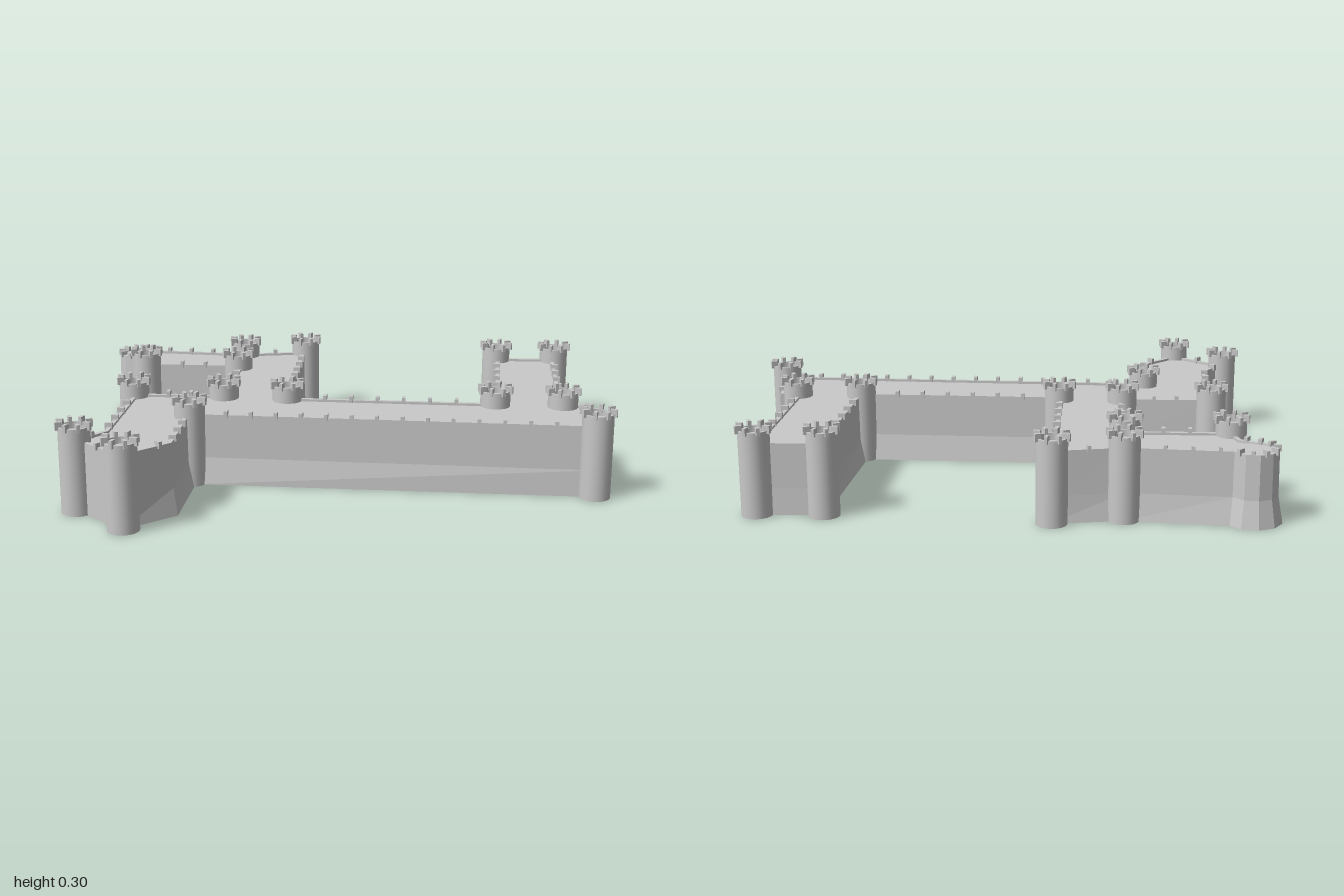
import * as THREE from 'three';

const stone = new THREE.MeshStandardMaterial({ color: 0xc9c9c9, side: THREE.DoubleSide });
stone.name = 'stone';

const ROOF = 0.23, PARAPET = 0.238, MERLON = 0.252;

// Tower centres [x, z]
const towers = [
  [-0.94, -0.17], [-0.94, 0.06], [-0.505, -0.125], [0.31, 0.925], [0.445, 0.695],
  [0.94, 0.305], [0.8, 0.14], [0.3, 0.52], [-0.14, -0.035], [0.37, -0.45],
  [0.19, -0.595], [-0.18, -0.74], [0.04, -0.475], [-0.27, -0.215], [-0.47, -0.455],
];

// Rounded bastion at the back end of the wing
const BX = -0.08, BZ = -0.9;
const bastion = Array.from({ length: 8 }, (_, i) => {
  const a = THREE.MathUtils.degToRad(20 - i * 235 / 7);
  return [BX + 0.078 * Math.cos(a), BZ + 0.078 * Math.sin(a), 0.018];
});

// Outer wall line [x, z, flare of the foot]
const outline = [
  [-0.94, 0.058, 0], [-0.75, 0.072, 0.014], [-0.505, -0.125, 0.018], [0.31, 0.925, 0.004],
  [0.49, 0.742, 0.012], [0.445, 0.695, 0.016], [0.94, 0.305, 0.004], [0.8, 0.14, 0.004],
  [0.3, 0.52, 0.018], [-0.14, -0.035, 0.018], [0.37, -0.45, 0.004], [0.19, -0.595, 0.012],
  ...bastion,
  [-0.137, -0.81, 0.01], [-0.18, -0.74, 0.01], [0.04, -0.475, 0.018], [-0.27, -0.215, 0.018],
  [-0.47, -0.455, 0.004], [-0.815, -0.18, 0.012], [-0.94, -0.175, 0],
];
const N = outline.length;

// Outward normal of the edge starting at point i
function edgeNormal(i) {
  const [x0, z0] = outline[(i + N) % N], [x1, z1] = outline[(i + 1) % N];
  return new THREE.Vector2(-(z1 - z0), x1 - x0).normalize();
}

// Mitred ring of the outline, pushed outwards at a given height
function ring(offset, y, flare = 0) {
  return outline.map(([x, z, f], i) => {
    const a = edgeNormal(i - 1), b = edgeNormal(i);
    const d = (offset + flare * f) / Math.max(0.4, 1 + a.dot(b));
    return new THREE.Vector3(x + (a.x + b.x) * d, y, z + (a.y + b.y) * d);
  });
}

// Flat-faced skin across a stack of rings
function loft(rings) {
  const pos = [];
  for (let k = 0; k < rings.length - 1; k++) {
    for (let i = 0; i < N; i++) {
      const j = (i + 1) % N, lo = rings[k], hi = rings[k + 1];
      for (const p of [lo[i], lo[j], hi[j], lo[i], hi[j], hi[i]]) pos.push(p.x, p.y, p.z);
    }
  }
  const g = new THREE.BufferGeometry();
  g.setAttribute('position', new THREE.Float32BufferAttribute(pos, 3));
  g.computeVertexNormals();
  return g;
}

function add(parent, name, geometry, x = 0, y = 0, z = 0, ry = 0) {
  const m = new THREE.Mesh(geometry, stone);
  m.name = name;
  m.position.set(x, y, z);
  m.rotation.y = ry;
  parent.add(m);
  return m;
}

// Round tower with a sunken roof and a crown of merlons
const R = 0.051, RIN = 0.043, TOP = 0.284, FLOOR = 0.262;
const disc = (r, y, up) => new THREE.CircleGeometry(r, 24).rotateX(up ? -Math.PI / 2 : Math.PI / 2).translate(0, y, 0);
const towerParts = {
  towerShaft: new THREE.CylinderGeometry(R, R, TOP, 24, 1, true).translate(0, TOP / 2, 0),
  towerFoot: disc(R, 0, false),
  towerRoof: disc(RIN, FLOOR, true),
  towerParapetInside: new THREE.CylinderGeometry(RIN, RIN, TOP - FLOOR, 24, 1, true).translate(0, (TOP + FLOOR) / 2, 0),
  towerRim: new THREE.RingGeometry(RIN, R, 24).rotateX(-Math.PI / 2).translate(0, TOP, 0),
};
const towerMerlon = new THREE.BoxGeometry(0.011, 0.026, 0.022);

function makeTower(x, z) {
  const t = new THREE.Group();
  t.name = 'tower';
  for (const [name, g] of Object.entries(towerParts)) add(t, name, g);
  for (let i = 0; i < 8; i++) {
    const a = (i + 0.5) * Math.PI / 4;
    add(t, 'towerMerlon', towerMerlon, Math.sin(a) * 0.049, 0.288, Math.cos(a) * 0.049, a);
  }
  t.position.set(x, 0, z);
  return t;
}

export function createModel() {
  const castle = new THREE.Group();
  castle.name = 'castle';

  // Walls with flared foot and parapet
  add(castle, 'walls', loft([
    ring(0, 0, 1), ring(0, 0.09, 0.1), ring(0, PARAPET), ring(-0.014, PARAPET), ring(-0.014, ROOF),
  ]));

  // Flat roof inside the parapet
  const roof = new THREE.Shape(ring(-0.014, 0).map(p => new THREE.Vector2(p.x, -p.z)));
  add(castle, 'roof', new THREE.ShapeGeometry(roof).rotateX(-Math.PI / 2), 0, ROOF, 0);

  // Round platform on the bastion
  add(castle, 'bastionPlatform', new THREE.CylinderGeometry(0.07, 0.07, 0.006, 24), BX, ROOF + 0.001, BZ);

  // Merlons along the parapet, left out where a tower stands
  const merlon = new THREE.BoxGeometry(0.012, MERLON - ROOF, 0.024);
  const line = ring(-0.004, 0);
  line.forEach((p, i) => {
    const q = line[(i + 1) % N], n = edgeNormal(i);
    const count = Math.max(1, Math.round(p.distanceTo(q) / 0.085));
    for (let k = 0; k < count; k++) {
      const c = p.clone().lerp(q, (k + 0.5) / count);
      if (towers.some(([x, z]) => Math.hypot(x - c.x, z - c.z) < 0.06)) continue;
      add(castle, 'wallMerlon', merlon, c.x, (MERLON + ROOF) / 2, c.z, Math.atan2(n.x, n.y));
    }
  });

  for (const [x, z] of towers) castle.add(makeTower(x, z));
  return castle;
}
